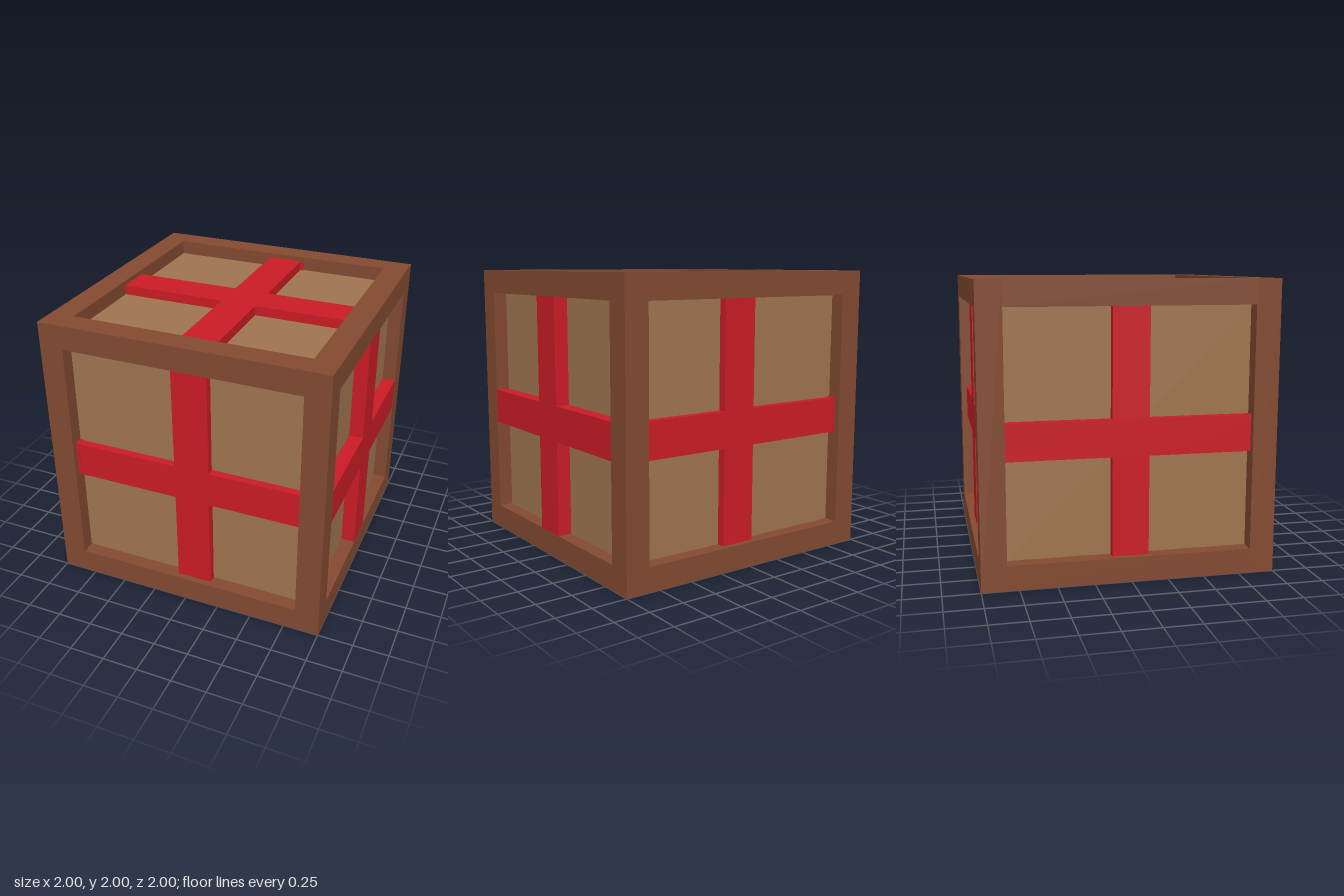
import * as THREE from 'three';

const HALF = 1, BEAM = 0.17, PANEL = 0.9, RIBBON = 0.25;

const material = (color) => new THREE.MeshStandardMaterial({ color, flatShading: true });

// Plus-shaped outline: cu and cv are the offsets of the upright and the cross bar
function crossShape(cu, cv, low, reach) {
  const h = RIBBON / 2;
  const points = [
    [cu - h, low], [cu + h, low], [cu + h, cv - h], [reach, cv - h],
    [reach, cv + h], [cu + h, cv + h], [cu + h, reach], [cu - h, reach],
    [cu - h, cv + h], [-reach, cv + h], [-reach, cv - h], [cu - h, cv - h],
  ];
  return new THREE.Shape(points.map(([u, v]) => new THREE.Vector2(u, v)));
}

export function createModel() {
  const model = new THREE.Group();
  model.name = 'crate';
  const wood = material(0x834a31);
  const board = material(0xa07550);
  const red = material(0xcb1c26);

  function add(parent, name, geometry, mat) {
    const mesh = new THREE.Mesh(geometry, mat);
    mesh.name = name;
    parent.add(mesh);
    return mesh;
  }

  // Recessed panels: one inner cube
  add(model, 'innerPanels', new THREE.BoxGeometry(2 * PANEL, 2 * PANEL, 2 * PANEL), board)
    .position.y = HALF;

  // Frame: four full-height posts with rails fitted between them
  const frame = new THREE.Group();
  frame.name = 'frame';
  model.add(frame);
  const mid = HALF - BEAM / 2;
  const span = 2 * (HALF - BEAM);
  for (const a of [-1, 1]) {
    for (const b of [-1, 1]) {
      add(frame, 'cornerPost', new THREE.BoxGeometry(BEAM, 2 * HALF, BEAM), wood)
        .position.set(a * mid, HALF, b * mid);
      add(frame, 'widthRail', new THREE.BoxGeometry(span, BEAM, BEAM), wood)
        .position.set(0, HALF + a * mid, b * mid);
      add(frame, 'depthRail', new THREE.BoxGeometry(BEAM, BEAM, span), wood)
        .position.set(a * mid, HALF + b * mid, 0);
    }
  }

  // Crossed ribbons on every face but the underside
  const ribbons = [
    { name: 'frontRibbon', cu: 0.055, cv: -0.035, low: -0.85, reach: 0.96, inner: 0.83, outer: 0.957, rot: [0, 0] },
    { name: 'rightSideRibbon', cu: 0, cv: -0.035, low: -0.83, reach: 0.83, inner: 0.83, outer: 0.999, rot: [0, Math.PI / 2] },
    { name: 'backRibbon', cu: -0.075, cv: -0.035, low: -0.85, reach: 0.96, inner: 0.82, outer: 0.957, rot: [0, Math.PI] },
    { name: 'leftSideRibbon', cu: 0, cv: -0.03, low: -0.85, reach: 0.96, inner: 0.81, outer: 0.957, rot: [0, -Math.PI / 2] },
    { name: 'topRibbon', cu: 0.055, cv: -0.015, low: -0.95, reach: 0.95, inner: 0.83, outer: 0.968, rot: [-Math.PI / 2, 0] },
  ];
  for (const { name, cu, cv, low, reach, inner, outer, rot } of ribbons) {
    const geometry = new THREE.ExtrudeGeometry(crossShape(cu, cv, low, reach), {
      depth: outer - inner, bevelEnabled: false,
    });
    geometry.translate(0, 0, inner);
    const ribbon = add(model, name, geometry, red);
    ribbon.rotation.set(rot[0], rot[1], 0);
    ribbon.position.y = HALF;
  }
  return model;
}
